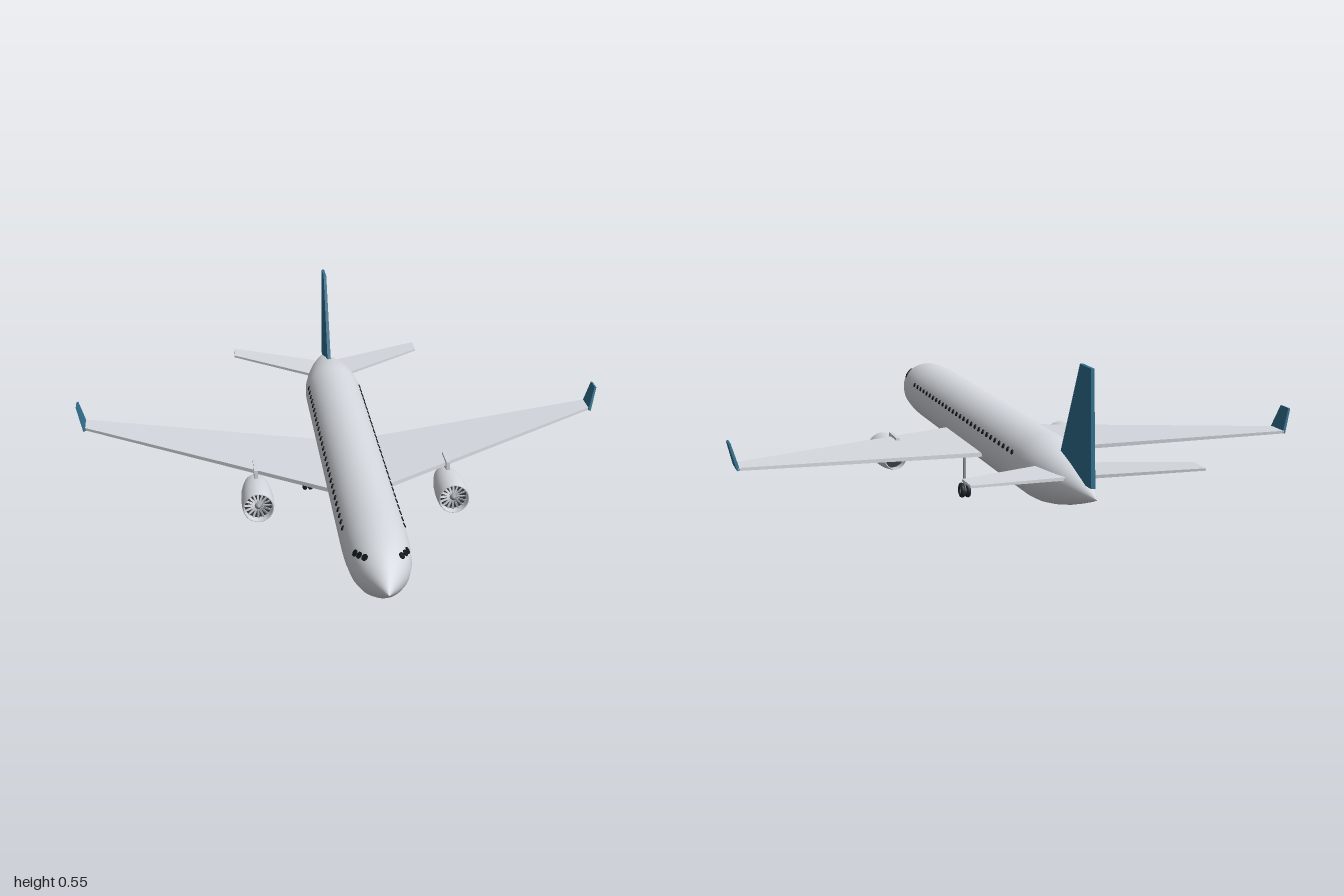
import * as THREE from 'three';

const mat = (name, color, side = THREE.FrontSide) => {
  const m = new THREE.MeshStandardMaterial({ color, side });
  m.name = name;
  return m;
};

export function createModel() {
  const body = mat('light grey paint', 0xd5d9df);
  const blue = mat('blue paint', 0x30708f);
  const glass = mat('dark glass', 0x14191d);
  const rubber = mat('tyre rubber', 0x22282c);
  const metal = mat('bare metal', 0x9a9fa5);
  const cavity = mat('engine interior', 0x3a3e43);

  const model = new THREE.Group();
  model.name = 'airliner';
  const add = (parent, name, geometry, material, x = 0, y = 0, z = 0) => {
    const mesh = new THREE.Mesh(geometry, material);
    mesh.name = name;
    mesh.position.set(x, y, z);
    parent.add(mesh);
    return mesh;
  };
  const group = (name, x, y, z) => {
    const g = new THREE.Group();
    g.name = name;
    g.position.set(x, y, z);
    model.add(g);
    return g;
  };

  // Turned body along z, from [radius, z] pairs running back to front
  const turned = (profile, sides) =>
    new THREE.LatheGeometry(profile.map(([r, z]) => new THREE.Vector2(r, z)), sides).rotateX(Math.PI / 2);

  // Tapered slab between two sections: [x, y, leading z, trailing z, thickness]
  const slab = (root, tip) => {
    const geo = new THREE.BoxGeometry(1, 1, 1);
    const pos = geo.attributes.position;
    const dx = tip[0] - root[0], dy = tip[1] - root[1], len = Math.hypot(dx, dy);
    for (let i = 0; i < pos.count; i++) {
      const u = pos.getX(i) + 0.5;
      const s = root.map((v, k) => v + (tip[k] - v) * u);
      const h = pos.getY(i) * s[4];
      pos.setXYZ(i, s[0] - (dy / len) * h, s[1] + (dx / len) * h, pos.getZ(i) > 0 ? s[2] : s[3]);
    }
    geo.computeVertexNormals();
    return geo;
  };

  // Fuselage
  const CY = 0.19;
  const hull = [[0, -1], [0.014, -0.96], [0.036, -0.89], [0.062, -0.8], [0.083, -0.71], [0.095, -0.64],
    [0.1, -0.57], [0.1, 0.66], [0.098, 0.73], [0.091, 0.81], [0.079, 0.86], [0.063, 0.895],
    [0.035, 0.945], [0, 1]];
  add(model, 'fuselage', turned(hull, 48), body, 0, CY, 0);
  const hullRadius = (z) => {
    const i = hull.findIndex((p) => p[1] >= z);
    const [r0, z0] = hull[i - 1], [r1, z1] = hull[i];
    return r0 + (r1 - r0) * (z - z0) / (z1 - z0);
  };

  // Thin round window lying on the hull
  const windowOn = (name, side, y, z, radius) => {
    const r = hullRadius(z), h = y - CY, x = side * Math.sqrt(r * r - h * h);
    const slope = (hullRadius(z + 0.01) - hullRadius(z - 0.01)) / 0.02;
    const pane = add(model, name, new THREE.CylinderGeometry(radius, radius, 0.006, 10), glass, x, y, z);
    const normal = new THREE.Vector3(x / r, h / r, -slope).normalize();
    pane.quaternion.setFromUnitVectors(new THREE.Vector3(0, 1, 0), normal);
  };

  // Pair of wheels on a strut
  const landingGear = (name, x, z, wheelR, gap, top) => {
    const gear = group(name, x, wheelR, z);
    const height = top - wheelR;
    add(gear, 'strut', new THREE.CylinderGeometry(0.005, 0.005, height, 10), metal, 0, height / 2, 0);
    add(gear, 'axle', new THREE.CylinderGeometry(0.003, 0.003, gap * 2, 8).rotateZ(Math.PI / 2), metal);
    for (const s of [-1, 1]) {
      const tube = wheelR * 0.32;
      add(gear, 'tyre', new THREE.TorusGeometry(wheelR - tube, tube, 8, 20).rotateY(Math.PI / 2), rubber, s * gap);
      add(gear, 'wheelHub', new THREE.CylinderGeometry(wheelR * 0.5, wheelR * 0.5, 0.007, 14).rotateZ(Math.PI / 2),
        metal, s * gap);
    }
  };

  // Engine with open nacelle, fan, spinner and exhaust cone
  const nacelle = [[0.037, 0.02], [0.044, 0.05], [0.05, 0.09], [0.053, 0.14], [0.0525, 0.185], [0.05, 0.208],
    [0.048, 0.212], [0.046, 0.208], [0.045, 0.18], [0.045, 0.1], [0.04, 0.06], [0.034, 0.02], [0.037, 0.02]];
  const engine = (side) => {
    const g = group(side > 0 ? 'leftEngine' : 'rightEngine', side * 0.32, 0.105, 0);
    add(g, 'nacelle', turned(nacelle, 32), body);
    add(g, 'fanBacking', new THREE.CylinderGeometry(0.0455, 0.0455, 0.01, 28).rotateX(Math.PI / 2), cavity, 0, 0, 0.175);
    for (let i = 0; i < 16; i++) {
      const blade = new THREE.BoxGeometry(0.007, 0.036, 0.0015)
        .rotateY(0.4).translate(0, 0.027, 0).rotateZ(i * Math.PI / 8);
      add(g, 'fanBlade', blade, body, 0, 0, 0.187);
    }
    add(g, 'spinner', turned([[0.013, 0.18], [0.011, 0.192], [0.006, 0.201], [0, 0.205]], 18), metal);
    add(g, 'exhaustCone', new THREE.ConeGeometry(0.022, 0.06, 20).rotateX(-Math.PI / 2), metal, 0, 0, 0.04);
    add(g, 'exhaustBacking', new THREE.CylinderGeometry(0.041, 0.041, 0.006, 24).rotateX(Math.PI / 2), cavity, 0, 0, 0.068);
    add(g, 'pylon', new THREE.BoxGeometry(0.012, 0.038, 0.1), body, 0, 0.058, 0.035);
  };

  for (const s of [-1, 1]) {
    const label = s > 0 ? 'left' : 'right';
    // Wing, winglet and tailplane
    add(model, label + 'Wing', slab([s * 0.04, 0.151, 0.232, -0.203, 0.014], [s * 0.893, 0.199, -0.3, -0.378, 0.009]), body);
    add(model, label + 'Winglet', slab([s * 0.893, 0.195, -0.288, -0.378, 0.009], [s * 0.916, 0.275, -0.312, -0.366, 0.007]), blue);
    add(model, label + 'Tailplane', slab([s * 0.02, 0.216, -0.662, -0.838, 0.01], [s * 0.348, 0.242, -0.868, -0.95, 0.007]), body);
    engine(s);
    landingGear(label + 'MainGear', s * 0.132, -0.15, 0.025, 0.0095, 0.155);
    // Cabin and cockpit windows
    for (let i = 0; i < 28; i++) windowOn('cabinWindow', s, 0.23, 0.64 - i * 0.0432, 0.0078);
    for (let i = 0; i < 3; i++) windowOn('cockpitWindow', s, 0.245 - i * 0.004, 0.866 - i * 0.023, 0.0105);
  }
  landingGear('noseGear', 0, 0.61, 0.016, 0.009, 0.1);

  // Tail fin
  add(model, 'tailFin', slab([0, 0.215, -0.688, -0.968, 0.013], [0, 0.55, -0.866, -0.952, 0.01]), blue);

  return model;
}
